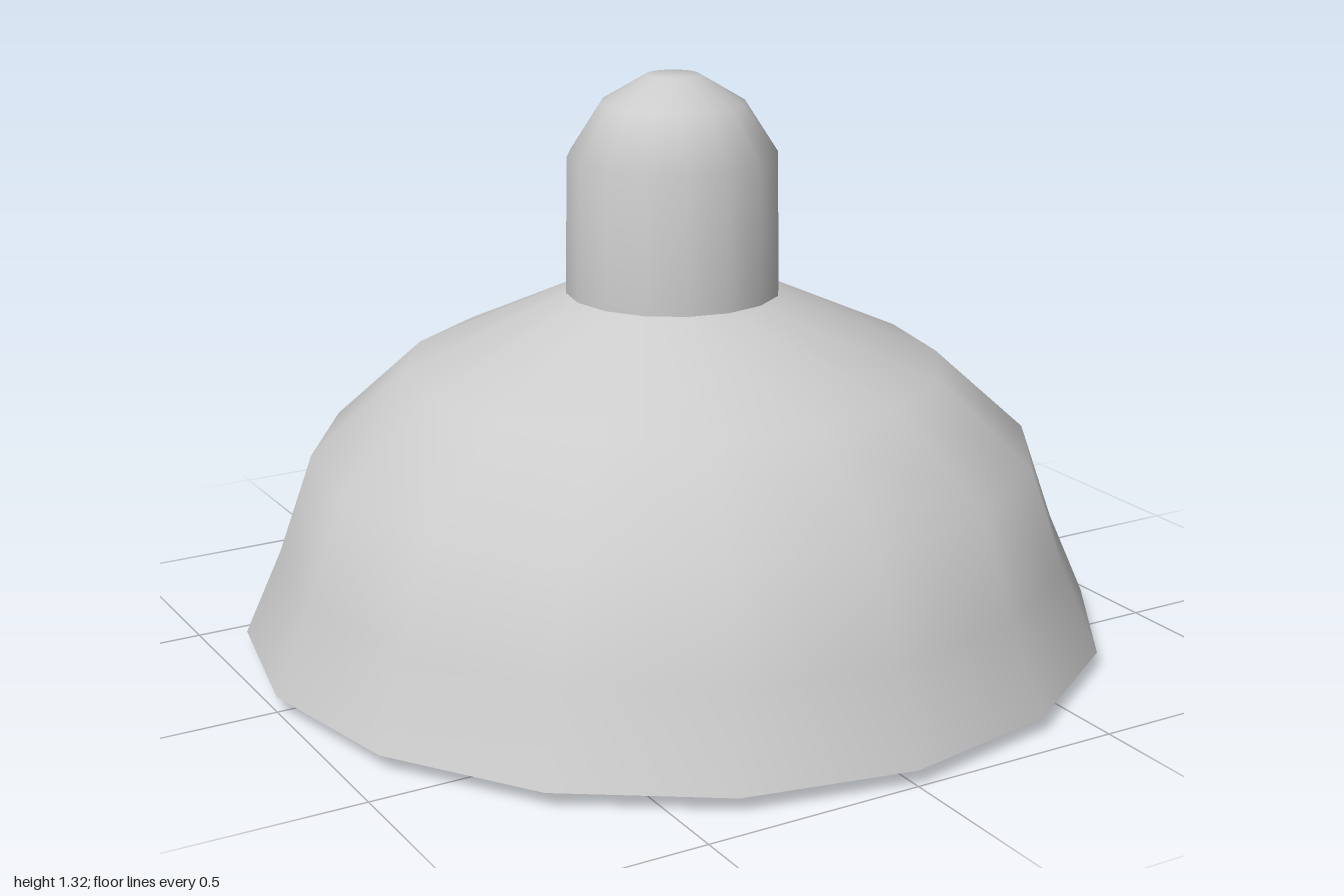
import * as THREE from 'three';

const grey = new THREE.MeshStandardMaterial({ color: 0xcccccc, side: THREE.DoubleSide });
const faceted = new THREE.MeshStandardMaterial({ color: 0xcccccc, flatShading: true, side: THREE.DoubleSide });

// Revolve a profile of [radius, height] pairs; upward profiles face outward.
function turned(name, profile, sides = 16, material = grey) {
  const points = profile.map(([r, y]) => new THREE.Vector2(r, y));
  const mesh = new THREE.Mesh(new THREE.LatheGeometry(points, sides), material);
  mesh.name = name;
  return mesh;
}

export function createModel() {
  const lamp = new THREE.Group();
  lamp.name = 'pendantLamp';

  // Shade: outer skin, flat rim and a smoother inner bowl, kept apart for sharp rim edges
  const shade = new THREE.Group();
  shade.name = 'shade';
  shade.add(
    turned('shadeOuter', [[1, 0.036], [0.915, 0.23], [0.835, 0.46], [0.62, 0.655], [0.246, 0.825]]),
    turned('shadeRim', [[0.92, 0.036], [1, 0.036]]),
    turned('shadeInner', [[0, 0.72], [0.22, 0.72], [0.54, 0.575], [0.745, 0.395], [0.92, 0.036]]),
  );

  // Domed socket cap on top of the shade
  const cap = turned('socketCap', [
    [0.246, 0.825], [0.24, 1.14], [0.163, 1.26], [0.06, 1.321], [0, 1.321],
  ]);

  // Pear-shaped bulb: a round lower bowl tapering up into a narrower neck
  const radius = 0.26;
  const bulbProfile = [];
  for (let i = 0; i <= 5; i++) {
    const a = (i / 5) * Math.PI / 2;
    bulbProfile.push([radius * Math.sin(a), radius * (1 - Math.cos(a))]);
  }
  bulbProfile.push([0.24, 0.37], [0.185, 0.57], [0.14, 0.72]);
  const bulb = turned('bulb', bulbProfile, 12, faceted);

  lamp.add(shade, cap, bulb);
  return lamp;
}
